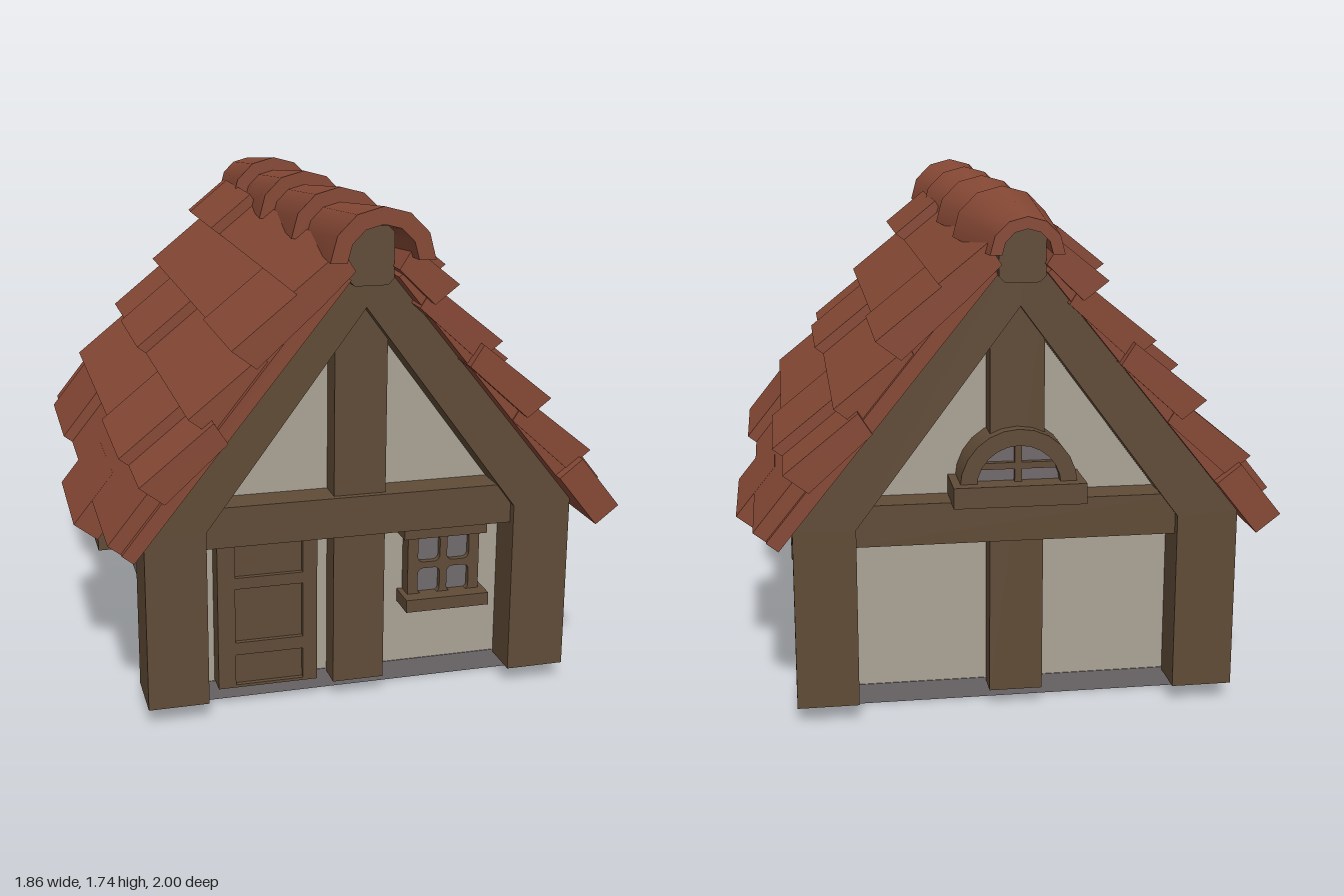
import * as THREE from 'three';
import { toCreasedNormals } from 'three/addons/utils/BufferGeometryUtils.js';

const mat = (name, color) => {
  const m = new THREE.MeshStandardMaterial({ color });
  m.name = name;
  return m;
};

export function createModel() {
  const house = new THREE.Group();
  house.name = 'cottage';
  const wood = mat('wood brown', 0x604b37);
  const plaster = mat('plaster cream', 0xaaa295);
  const clay = mat('clay red', 0x864835);
  const stone = mat('stone grey', 0x706a6c);

  const add = (name, geometry, material, parent = house) => {
    const mesh = new THREE.Mesh(geometry, material);
    mesh.name = name;
    parent.add(mesh);
    return mesh;
  };
  // Box given by its limits
  const box = (name, material, x0, x1, y0, y1, z0, z1, parent) => {
    const g = new THREE.BoxGeometry(x1 - x0, y1 - y0, z1 - z0);
    g.translate((x0 + x1) / 2, (y0 + y1) / 2, (z0 + z1) / 2);
    return add(name, g, material, parent);
  };
  const poly = (pts) => new THREE.Shape(pts.map(([x, y]) => new THREE.Vector2(x, y)));
  const rect = (x0, x1, y0, y1) => poly([[x0, y0], [x1, y0], [x1, y1], [x0, y1]]);
  const prism = (shape, z0, z1, curveSegments = 3) => {
    const g = new THREE.ExtrudeGeometry(shape, { depth: z1 - z0, bevelEnabled: false, curveSegments });
    return g.translate(0, 0, z0);
  };
  // Rounded window pane outline
  const pane = (x0, x1, y0, y1, r = 0.02) => {
    const s = new THREE.Path();
    s.absarc(x1 - r, y1 - r, r, 0, Math.PI / 2);
    s.absarc(x0 + r, y1 - r, r, Math.PI / 2, Math.PI);
    s.absarc(x0 + r, y0 + r, r, Math.PI, Math.PI * 1.5);
    s.absarc(x1 - r, y0 + r, r, Math.PI * 1.5, Math.PI * 2);
    s.closePath();
    return s;
  };

  // Foundation and plaster walls
  box('foundation', stone, -0.6, 0.6, 0, 0.07, -0.735, 0.685);
  add('walls', prism(poly([[-0.597, 0.07], [0.597, 0.07], [0.597, 0.82], [0, 1.52], [-0.597, 0.82]]), -0.732, 0.682), plaster);

  // Gable timber frames, front and back
  const frame = poly([
    [0.74, 0.06], [0.74, 0.68], [0, 1.6], [-0.74, 0.68], [-0.74, 0.06],
    [-0.535, 0.06], [-0.535, 0.67], [0, 1.39], [0.535, 0.67], [0.535, 0.06],
  ]);
  const zMid = -0.025;
  for (const [end, s] of [['front', 1], ['back', -1]]) {
    const gable = new THREE.Group();
    gable.name = end + 'Gable';
    gable.position.z = zMid;
    if (s < 0) gable.rotation.y = Math.PI;
    house.add(gable);
    add('gableFrame', prism(frame, 0.642, 0.851), wood, gable);
    box('centrePost', wood, -0.09, 0.09, 0.06, 1.45, 0.66, 0.797, gable);
    box('crossBeam', wood, -0.56, 0.56, 0.6, 0.74, 0.66, 0.82, gable);
  }

  // Side rails
  for (const s of [-1, 1]) {
    const x = [s * 0.56, s * 0.668].sort((a, b) => a - b);
    box('sideRail', wood, x[0], x[1], 0.31, 0.45, -0.68, 0.63);
  }

  // Ridge beam with chamfered corners
  const c = 0.02;
  add('ridgeBeam', prism(poly([
    [-0.075 + c, 1.47], [0.075 - c, 1.47], [0.075, 1.47 + c], [0.075, 1.66 - c],
    [0.075 - c, 1.66], [-0.075 + c, 1.66], [-0.075, 1.66 - c], [-0.075, 1.47 + c],
  ]), -0.91, 0.875), wood);

  // Door with three sunken panels
  const door = new THREE.Group();
  door.name = 'door';
  house.add(door);
  const leaf = rect(-0.49, -0.145, 0.075, 0.61);
  for (const [y0, y1] of [[0.085, 0.195], [0.24, 0.435], [0.475, 0.6]]) leaf.holes.push(rect(-0.43, -0.195, y0, y1));
  add('doorFrame', prism(leaf, 0.67, 0.762), wood, door);
  box('doorPanels', wood, -0.45, -0.17, 0.08, 0.605, 0.67, 0.745, door);

  // Four-pane front window
  const win = new THREE.Group();
  win.name = 'frontWindow';
  house.add(win);
  const sash = rect(0.185, 0.445, 0.32, 0.6);
  for (const x of [0.222, 0.328]) for (const y of [0.342, 0.46]) sash.holes.push(pane(x, x + 0.08, y, y + 0.095));
  add('windowFrame', prism(sash, 0.67, 0.742), wood, win);
  box('windowGlass', stone, 0.2, 0.43, 0.33, 0.58, 0.713, 0.72, win);
  box('windowLintel', wood, 0.165, 0.465, 0.555, 0.6, 0.67, 0.762, win);
  box('windowSill', wood, 0.165, 0.465, 0.3, 0.345, 0.67, 0.795, win);

  // Arched attic window on the back gable
  const attic = new THREE.Group();
  attic.name = 'atticWindow';
  attic.rotation.y = Math.PI;
  attic.position.set(0, 0.79, zMid);
  house.add(attic);
  const arch = new THREE.Shape();
  arch.absarc(0, 0, 0.195, 0, Math.PI);
  arch.absarc(0, 0, 0.14, Math.PI, 0, true);
  arch.closePath();
  add('archFrame', toCreasedNormals(prism(arch, 0.66, 0.84, 6), 0.6), wood, attic);
  const half = new THREE.Shape();
  half.absarc(0, 0, 0.15, 0, Math.PI);
  add('archGlass', prism(half, 0.798, 0.805, 6), stone, attic);
  box('archMullion', wood, -0.012, 0.012, 0, 0.15, 0.795, 0.825, attic);
  box('archBar', wood, -0.14, 0.14, 0.058, 0.08, 0.795, 0.825, attic);
  box('atticSill', wood, -0.22, 0.22, -0.055, 0.015, 0.66, 0.88, attic);

  // Roof courses: lower outer corner, run up the slope, upper end thickness, z limits, raised tile limits
  const wedge = [-0.045, -0.07];
  const courses = [
    { o: [0.865, 0.685], run: [-0.14, 0.175], top: [-0.08, -0.062], z: [-0.905, 0.945], up: [0.25, 0.72] },
    { o: [0.765, 0.88], run: [-0.24, 0.193], top: wedge, z: [-0.94, 0.915], up: [-0.7, -0.225] },
    { o: [0.6, 1.08], run: [-0.24, 0.193], top: wedge, z: [-0.905, 0.945], up: [0.01, 0.49] },
    { o: [0.435, 1.275], run: [-0.24, 0.193], top: wedge, z: [-0.94, 0.915], up: [-0.94, -0.46] },
    { o: [0.27, 1.475], run: [-0.155, 0.125], top: wedge, z: [-0.94, 0.945], up: [0.25, 0.72] },
  ];
  const tile = ({ o, run, top }, z0, z1, dx, dy, parent) => {
    const [x, y] = [o[0] + dx, o[1] + dy];
    const [ux, uy] = [x + run[0], y + run[1]];
    add('roofTile', prism(poly([[x, y], [ux, uy], [ux + top[0], uy + top[1]], [x - 0.08, y - 0.062]]), z0, z1), clay, parent);
  };
  for (const side of ['left', 'right']) {
    const slope = new THREE.Group();
    slope.name = side + 'RoofSlope';
    if (side === 'right') slope.rotation.y = Math.PI;
    house.add(slope);
    // Boarding that closes the gaps under the tiles
    add('roofBoarding', prism(poly([[0.785, 0.624], [0.824, 0.655], [0.119, 1.531], [0.08, 1.5]]), -0.925, 0.91), clay, slope);
    for (const course of courses) {
      const { z, up } = course;
      if (up[0] > z[0]) tile(course, z[0], up[0], 0, 0, slope);
      tile(course, up[1], z[1], 0, 0, slope);
      tile(course, up[0], up[1], 0.032, 0.024, slope);
    }
    // One tile that has slipped below the eave
    tile(courses[0], -0.46, 0.01, 0.066, -0.082, slope);
  }

  // Overlapping tapered ridge tiles
  const ring = new THREE.Shape();
  ring.absarc(0, 0, 0.17, 0, Math.PI);
  ring.absarc(0, 0, 0.115, Math.PI, 0, true);
  ring.closePath();
  const length = 0.515;
  const ridge = prism(ring, 0, length);
  const p = ridge.attributes.position;
  for (let i = 0; i < p.count; i++) {
    const t = p.getZ(i) / length;
    const k = 0.69 + 0.31 * t;
    p.setXYZ(i, p.getX(i) * k, p.getY(i) * k, p.getZ(i));
  }
  const ridgeTile = toCreasedNormals(ridge, 0.7);
  for (let i = 0; i < 4; i++) {
    add('ridgeTile', ridgeTile, clay).position.set(0, 1.568, -1 + i * 0.495);
  }
  return house;
}
